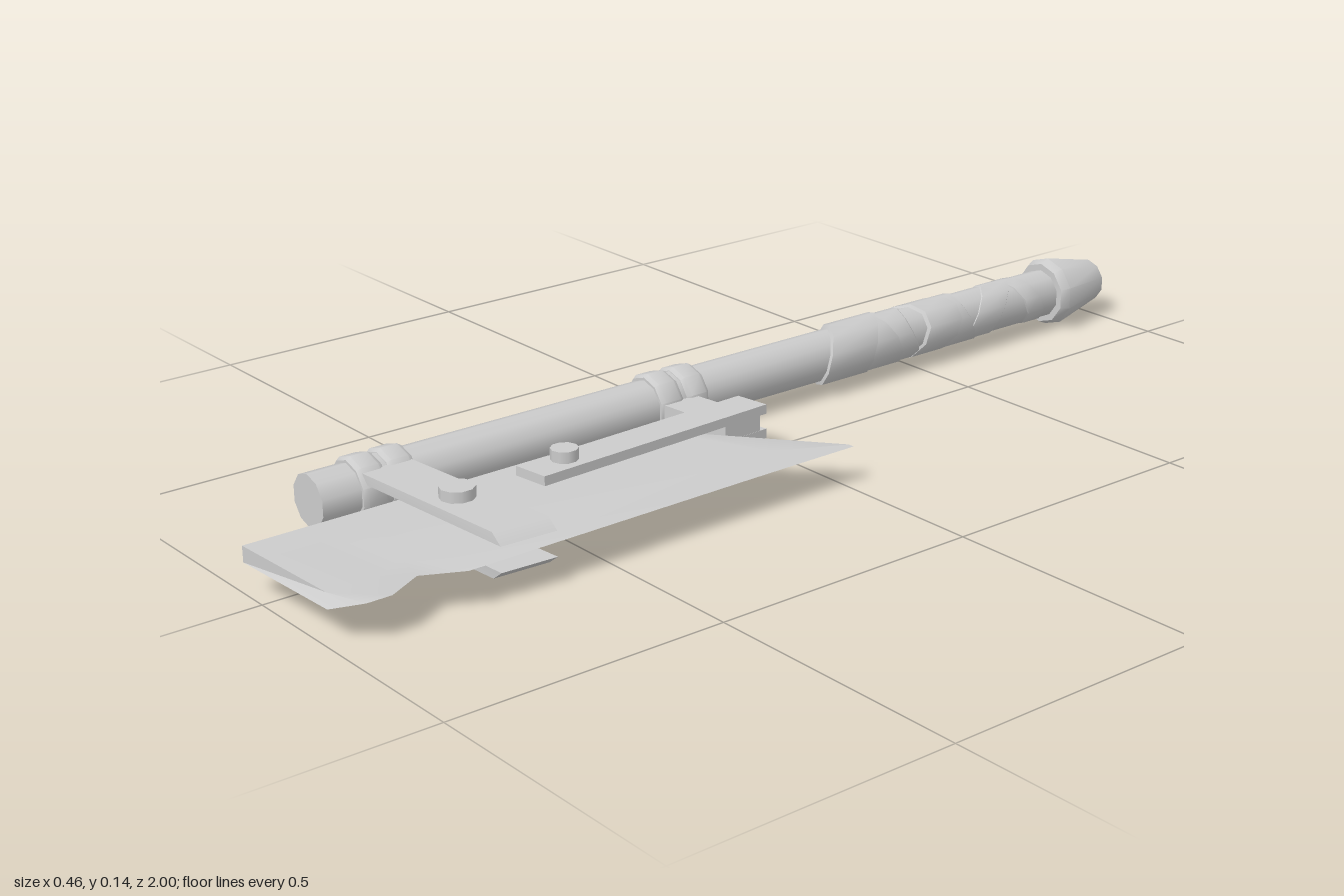
import * as THREE from 'three';
import { toCreasedNormals } from 'three/addons/utils/BufferGeometryUtils.js';

const AXIS_X = -0.168, MID_Y = 0.067, SIDES = 10;
const material = new THREE.MeshStandardMaterial({ color: 0xcccccc });

function add(parent, name, geometry) {
  const mesh = new THREE.Mesh(toCreasedNormals(geometry, 0.66), material);
  mesh.name = name;
  parent.add(mesh);
  return mesh;
}

// Ten-sided turned part along the shaft axis; profile is [radius, z], z rising
function turned(profile) {
  const g = new THREE.LatheGeometry(profile.map(([r, z]) => new THREE.Vector2(r, z)), SIDES);
  return g.rotateX(Math.PI / 2).translate(AXIS_X, MID_Y, 0);
}

// Flat plate with an [x, z] outline between two heights
function plate(outline, y0, y1) {
  const shape = new THREE.Shape(outline.map(([x, z]) => new THREE.Vector2(x, z)));
  const g = new THREE.ExtrudeGeometry(shape, { depth: y1 - y0, bevelEnabled: false });
  return g.rotateX(Math.PI / 2).translate(0, y1, 0);
}

// Wrapping band whose ends are slanted around the shaft
function band(z0, z1, r, slantX, slantY) {
  const g = turned([[0.044, z0], [r, z0 + 0.004], [r, z1 - 0.004], [0.044, z1]]);
  const p = g.attributes.position;
  for (let i = 0; i < p.count; i++) {
    p.setZ(i, p.getZ(i) + slantX * (p.getX(i) - AXIS_X) + slantY * (p.getY(i) - MID_Y));
  }
  return g;
}

// Blade lofted from five-point sections: spine, bevel line and cutting edge
function bladeGeometry() {
  // [spine x, z, bevel x, z, edge x, z, half thickness]
  const rows = [
    [-0.05, 1.0, 0.18, 0.99, 0.225, 0.95, 0.014],
    [-0.05, 0.9, 0.18, 0.9, 0.225, 0.905, 0.014],
    [-0.05, 0.84, 0.15, 0.84, 0.19, 0.84, 0.014],
    [-0.05, 0.77, 0.18, 0.77, 0.225, 0.77, 0.014],
    [-0.055, 0.23, 0.17, 0.23, 0.218, 0.23, 0.014],
    [0.03, 0.17, 0.17, 0.13, 0.217, 0.1, 0.014],
    [0.2, -0.002, 0.21, -0.01, 0.217, -0.016, 0.003],
  ];
  const pos = [], idx = [], n = 5;
  for (const [xs, zs, xb, zb, xe, ze, t] of rows) {
    pos.push(xs, MID_Y - t, zs, xb, MID_Y - t, zb, xe, MID_Y, ze,
      xb, MID_Y + t, zb, xs, MID_Y + t, zs);
  }
  for (let r = 0; r < rows.length - 1; r++) {
    for (let i = 0; i < n; i++) {
      const a = r * n + i, b = r * n + (i + 1) % n;
      idx.push(a, a + n, b, b, a + n, b + n);
    }
  }
  const last = (rows.length - 1) * n;
  for (let i = 1; i < n - 1; i++) {
    idx.push(0, i, i + 1, last, last + i + 1, last + i);
  }
  const g = new THREE.BufferGeometry();
  g.setAttribute('position', new THREE.Float32BufferAttribute(pos, 3));
  g.setIndex(idx);
  return g;
}

export function createModel() {
  const model = new THREE.Group();
  model.name = 'poleBlade';

  // Shaft and flared pommel
  add(model, 'shaft', turned([[0, -0.9], [0.047, -0.9], [0.047, 0.815], [0, 0.815]]));
  add(model, 'pommel', turned([[0, -1], [0.041, -1], [0.068, -0.88], [0.06, -0.862], [0, -0.862]]));

  // Grip wrapping
  const wrapping = new THREE.Group();
  wrapping.name = 'gripWrapping';
  model.add(wrapping);
  [
    [-0.4, -0.28, 0.055, 0.5, -0.3],
    [-0.43, -0.34, 0.053, -0.2, 0.4],
    [-0.5, -0.42, 0.051, 0.4, 0.5],
    [-0.57, -0.48, 0.052, -0.5, -0.4],
    [-0.64, -0.55, 0.051, 0.2, 0.5],
    [-0.74, -0.66, 0.049, 0.6, -0.6],
    [-0.81, -0.76, 0.049, -0.3, 0.4],
  ].forEach((b) => add(wrapping, 'wrapBand', band(...b)));

  // Paired collars
  for (const z of [0.03, 0.087, 0.637, 0.694]) {
    add(model, 'collar', turned([
      [0.045, z], [0.052, z], [0.057, z + 0.008], [0.057, z + 0.04], [0.052, z + 0.048], [0.045, z + 0.048],
    ]));
  }
  for (const z of [0.07, 0.677]) {
    add(model, 'collarCore', turned([[0.045, z], [0.051, z], [0.051, z + 0.025], [0.045, z + 0.025]]));
  }

  add(model, 'blade', bladeGeometry());

  // Arm from the rear collar to the hinge bars
  add(model, 'hingeArm', plate([[-0.14, 0.06], [0.03, 0.035], [0.034, 0.115], [-0.14, 0.133]],
    MID_Y - 0.014, MID_Y + 0.014));

  // Bars and straps, one of each above and below the blade
  for (const s of [1, -1]) {
    const between = (a, b) => [MID_Y + s * a, MID_Y + s * b].sort((p, q) => p - q);
    add(model, 'hingeBar', plate([[-0.035, 0.03], [0.03, 0.02], [0.053, 0.507], [-0.015, 0.516]],
      ...between(0.014, 0.031)));

    const strap = plate([[-0.15, 0.642], [0.228, 0.608], [0.223, 0.71], [-0.15, 0.737]],
      ...between(0.022, 0.039));
    const p = strap.attributes.position;
    for (let i = 0; i < p.count; i++) {
      // outer face ends short, sloping towards the cutting edge
      if (p.getX(i) > 0.2 && (p.getY(i) - MID_Y) * s > 0.03) p.setX(i, p.getX(i) - 0.023);
    }
    add(model, 'bladeStrap', strap);
  }

  // Bolts through the bars and straps
  for (const [x, z, r, h] of [[0.011, 0.437, 0.024, 0.098], [0.05, 0.672, 0.03, 0.112]]) {
    add(model, 'bolt', new THREE.CylinderGeometry(r, r, h, SIDES).translate(x, MID_Y + 0.002, z));
  }

  return model;
}
